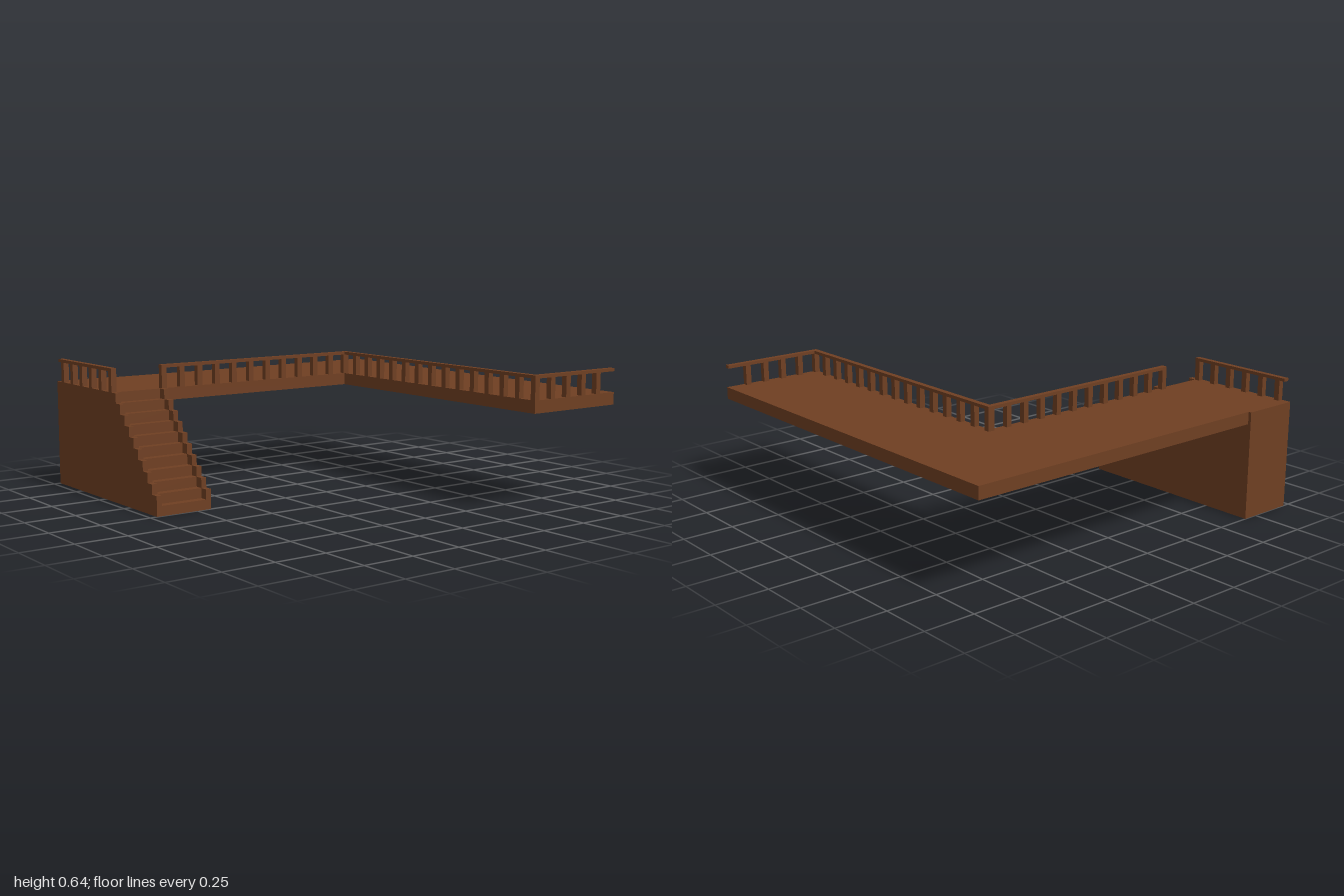
import * as THREE from 'three';

const wood = new THREE.MeshStandardMaterial({ color: 0x6f3f22 });
const DECK_TOP = 0.53, DECK_BOTTOM = 0.47, RAIL_TOP = 0.645;
const POST = 0.028, SPACING = 0.1015;
const STEPS = 11, RISE = DECK_TOP / STEPS, TREAD = 0.0415;

// Box given by its lower and upper corners
function box(name, [x0, y0, z0], [x1, y1, z1]) {
  const mesh = new THREE.Mesh(new THREE.BoxGeometry(x1 - x0, y1 - y0, z1 - z0), wood);
  mesh.position.set((x0 + x1) / 2, (y0 + y1) / 2, (z0 + z1) / 2);
  mesh.name = name;
  return mesh;
}

// Solid stepped block from x0 to x1; lift raises it by whole steps
function steppedBlock(name, x0, x1, lift) {
  const shape = new THREE.Shape();
  shape.moveTo(0, 0);
  for (let k = 0; k < STEPS - lift; k++) {
    const y = (k + 1 + lift) * RISE;
    shape.lineTo(k * TREAD, y);
    shape.lineTo(k === STEPS - lift - 1 ? 1 : (k + 1) * TREAD, y);
  }
  shape.lineTo(1, 0);
  const geometry = new THREE.ExtrudeGeometry(shape, { depth: x1 - x0, bevelEnabled: false });
  geometry.rotateY(Math.PI / 2); // profile runs towards -z, thickness along +x
  const mesh = new THREE.Mesh(geometry, wood);
  mesh.position.x = x0;
  mesh.name = name;
  return mesh;
}

// Handrail with evenly spaced square posts, along 'x' or 'z' from start to end
function railing(name, axis, start, end, side, posts, first, step) {
  const group = new THREE.Group();
  group.name = name;
  const h = POST / 2, railBottom = RAIL_TOP - 0.015;
  const lo = Math.min(start, end), hi = Math.max(start, end);
  group.add(axis === 'x'
    ? box('handrail', [lo, railBottom, side - h], [hi, RAIL_TOP, side + h])
    : box('handrail', [side - h, railBottom, lo], [side + h, RAIL_TOP, hi]));
  for (let i = 0; i < posts; i++) {
    const p = first + i * step;
    const [x, z] = axis === 'x' ? [p, side] : [side, p];
    group.add(box('post', [x - h, DECK_TOP, z - h], [x + h, railBottom, z + h]));
  }
  return group;
}

export function createModel() {
  const model = new THREE.Group();
  model.name = 'raisedWalkway';

  // Staircase: treads between two stepped side walls
  const stairs = new THREE.Group();
  stairs.name = 'staircase';
  stairs.add(
    steppedBlock('rightSideWall', -0.965, -0.938, 1),
    steppedBlock('treads', -0.938, -0.702, 0),
    steppedBlock('leftSideWall', -0.702, -0.675, 1),
  );
  model.add(stairs);

  // L-shaped deck
  const outline = new THREE.Shape([
    [-0.675, 0.985], [-0.675, 0.417], [0.432, 0.417], [0.432, -1], [0.962, -1], [0.962, 0.985],
  ].map(([x, y]) => new THREE.Vector2(x, y)));
  const deckGeometry = new THREE.ExtrudeGeometry(outline, { depth: DECK_TOP - DECK_BOTTOM, bevelEnabled: false });
  deckGeometry.rotateX(-Math.PI / 2);
  const deck = new THREE.Mesh(deckGeometry, wood);
  deck.position.y = DECK_BOTTOM;
  deck.name = 'deck';
  model.add(deck);

  // Railings beside the stairs, along the inner edges and across the end
  model.add(
    railing('stairRailing', 'z', -0.98, -0.415, -0.951, 6, -0.429, -SPACING),
    railing('backInnerRailing', 'x', -0.689, 0.46, -0.431, 12, -0.675, SPACING),
    railing('sideInnerRailing', 'z', -0.445, 1, 0.446, 15, 0.986, -0.1012),
    railing('endRailing', 'x', 0.46, 0.962, 0.986, 4, 0.446 + SPACING, SPACING),
  );
  return model;
}
